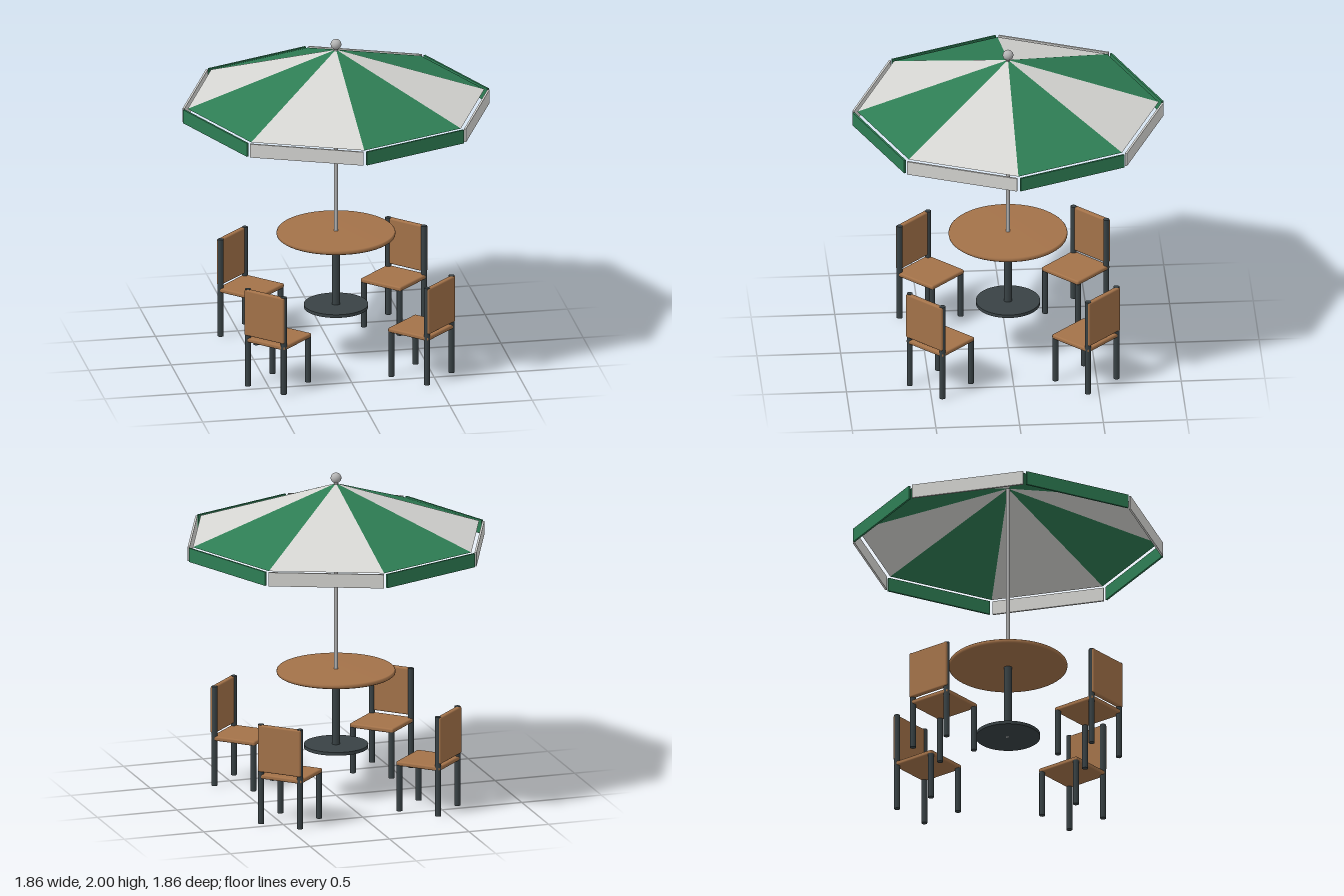
import * as THREE from 'three';
import { RoundedBoxGeometry } from 'three/addons/geometries/RoundedBoxGeometry.js';

const material = (name, color, side = THREE.FrontSide) => {
  const m = new THREE.MeshStandardMaterial({ color, side });
  m.name = name;
  return m;
};

export function createModel() {
  const green = material('green canvas', 0x2e7d54, THREE.DoubleSide);
  const white = material('white canvas', 0xd6d6d3, THREE.DoubleSide);
  const wood = material('wood', 0xa37249);
  const iron = material('dark iron', 0x394245);
  const steel = material('pale metal', 0xb4b4b4);

  const add = (parent, name, geometry, mat, x = 0, y = 0, z = 0) => {
    const mesh = new THREE.Mesh(geometry, mat);
    mesh.name = name;
    mesh.position.set(x, y, z);
    parent.add(mesh);
    return mesh;
  };
  const group = (parent, name) => {
    const g = new THREE.Group();
    g.name = name;
    parent.add(g);
    return g;
  };
  // Upright cylinder between two heights
  const rod = (parent, name, r, y0, y1, mat, x = 0, z = 0, sides = 24) =>
    add(parent, name, new THREE.CylinderGeometry(r, r, y1 - y0, sides), mat, x, (y0 + y1) / 2, z);

  const model = new THREE.Group();
  model.name = 'patioSet';

  // Table: slightly rounded round top, pedestal and foot plate
  const table = group(model, 'table');
  const edge = [[0, 0.757], [0.347, 0.757], [0.353, 0.762], [0.355, 0.771], [0.353, 0.78], [0.347, 0.785], [0, 0.785]];
  add(table, 'tableTop', new THREE.LatheGeometry(edge.map(p => new THREE.Vector2(...p)), 64), wood);
  rod(table, 'pedestal', 0.025, 0.315, 0.758, iron);
  rod(table, 'tableBase', 0.192, 0.3, 0.32, iron, 0, 0, 48);

  // Parasol: pole, finial, eight canvas wedges and hanging valance panels
  const parasol = group(model, 'parasol');
  rod(parasol, 'pole', 0.013, 0.3, 1.94, steel);
  add(parasol, 'finial', new THREE.SphereGeometry(0.032, 24, 16), steel, 0, 1.968, 0);
  const rim = i => [0.9 * Math.cos(i * Math.PI / 4), 1.62, 0.9 * Math.sin(i * Math.PI / 4)];
  for (let i = 0; i < 8; i++) {
    const canvas = i % 2 ? green : white;
    const wedge = new THREE.BufferGeometry();
    wedge.setAttribute('position', new THREE.Float32BufferAttribute([0, 1.935, 0, ...rim(i + 1), ...rim(i)], 3));
    wedge.computeVertexNormals();
    add(parasol, 'canopyPanel', wedge, canvas);

    const a = (i + 0.5) * Math.PI / 4;
    const valance = add(parasol, 'valancePanel', new THREE.BoxGeometry(0.012, 0.085, 0.69), canvas,
      0.857 * Math.cos(a), 1.5775, 0.857 * Math.sin(a));
    valance.rotation.y = -a;
  }

  // Four chairs on the diagonals, backs turned outward
  const seat = new RoundedBoxGeometry(0.29, 0.028, 0.29, 3, 0.01);
  const back = new RoundedBoxGeometry(0.285, 0.29, 0.032, 3, 0.01);
  for (let i = 0; i < 4; i++) {
    const chair = group(model, 'chair');
    chair.rotation.y = Math.PI / 4 + i * Math.PI / 2;
    add(chair, 'seat', seat, wood, 0, 0.294, 0.615);
    add(chair, 'backrest', back, wood, 0, 0.469, 0.751);
    for (const x of [-0.129, 0.129]) {
      rod(chair, 'frontLeg', 0.018, 0, 0.285, iron, x, 0.486, 12);
      rod(chair, 'backPost', 0.018, 0, 0.615, iron, x, 0.744, 12);
    }
  }
  return model;
}
